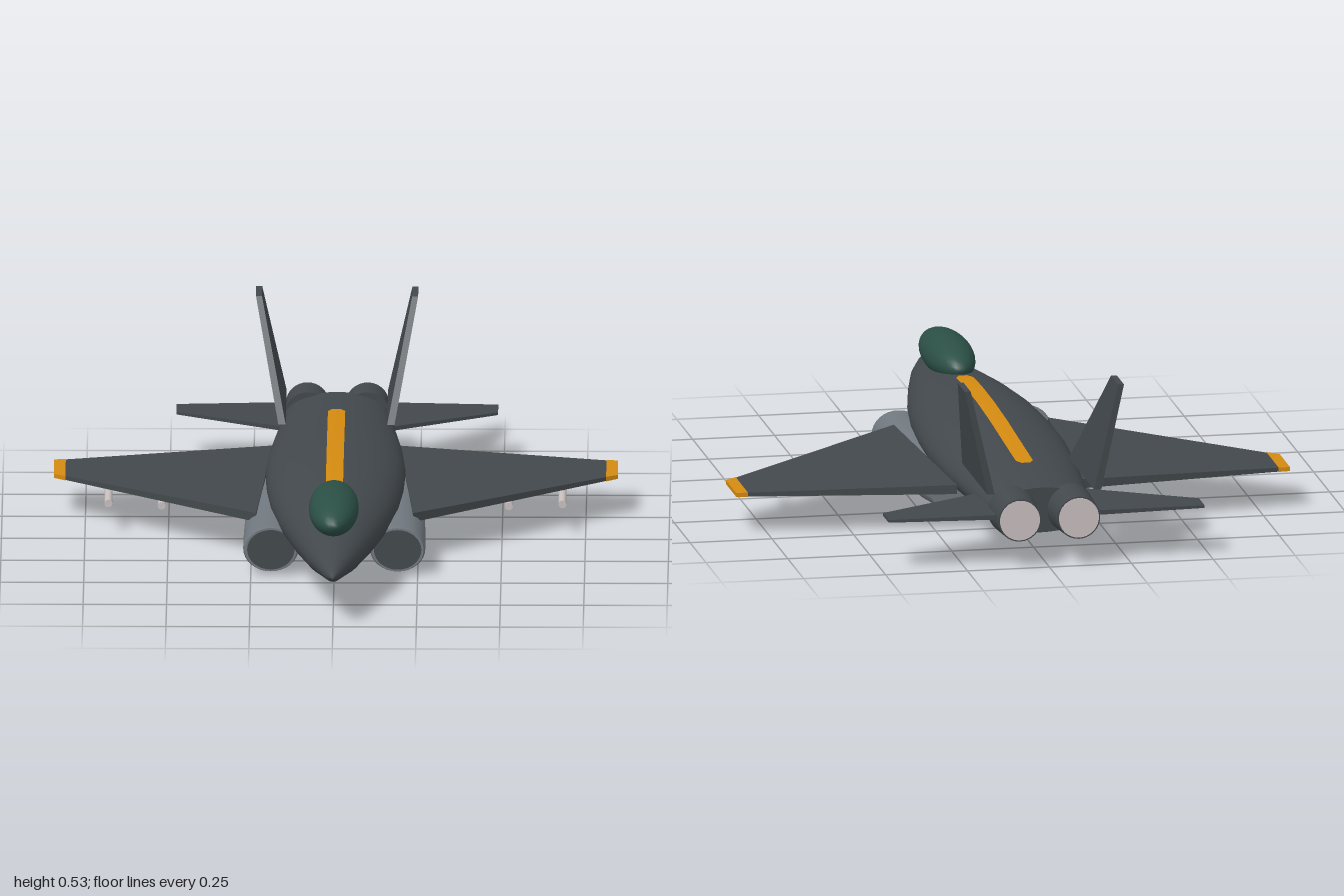
import * as THREE from 'three';
import { ConvexGeometry } from 'three/addons/geometries/ConvexGeometry.js';

const material = (name, color) => {
  const m = new THREE.MeshStandardMaterial({ color });
  m.name = name;
  return m;
};

// Smooth elliptical loft with flat caps; sections run front to back as [z, x, halfWidth, top, bottom]
function loft(sections, sides = 32) {
  const pos = [], idx = [];
  const ring = ([z, x, w, top, bottom]) => {
    const first = pos.length / 3;
    for (let j = 0; j < sides; j++) {
      const a = (j / sides) * Math.PI * 2;
      pos.push(x + w * Math.cos(a), (top + bottom) / 2 + ((top - bottom) / 2) * Math.sin(a), z);
    }
    return first;
  };
  const starts = sections.map(ring);
  for (let i = 0; i < starts.length - 1; i++) {
    for (let j = 0; j < sides; j++) {
      const k = (j + 1) % sides;
      const a = starts[i] + j, b = starts[i] + k, c = starts[i + 1] + j, d = starts[i + 1] + k;
      idx.push(a, c, b, b, c, d);
    }
  }
  [sections[0], sections[sections.length - 1]].forEach((s, end) => {
    const first = ring(s), centre = pos.length / 3;
    pos.push(s[1], (s[3] + s[4]) / 2, s[0]);
    for (let j = 0; j < sides; j++) {
      const p = first + j, q = first + ((j + 1) % sides);
      idx.push(...(end ? [centre, q, p] : [centre, p, q]));
    }
  });
  const g = new THREE.BufferGeometry();
  g.setAttribute('position', new THREE.Float32BufferAttribute(pos, 3));
  g.setIndex(idx);
  g.computeVertexNormals();
  return g;
}

// Flat panel from corners [x, y, z, thickness], thickened along one axis and mirrored by side
function panel(corners, side, axis) {
  const pts = [];
  for (const [x, y, z, t] of corners) {
    for (const h of [-t / 2, t / 2]) {
      const p = new THREE.Vector3(x * side, y, z);
      p[axis] += h;
      pts.push(p);
    }
  }
  return new ConvexGeometry(pts);
}

const BODY = [
  [1.0, 0, 0.003, 0.153, 0.147],
  [0.96, 0, 0.023, 0.172, 0.129],
  [0.78, 0, 0.079, 0.213, 0.096],
  [0.6, 0, 0.122, 0.236, 0.076],
  [0.4, 0, 0.163, 0.252, 0.063],
  [0.2, 0, 0.192, 0.26, 0.057],
  [0.0, 0, 0.206, 0.259, 0.055],
  [-0.2, 0, 0.21, 0.252, 0.057],
  [-0.4, 0, 0.2, 0.24, 0.063],
  [-0.6, 0, 0.182, 0.229, 0.069],
  [-0.88, 0, 0.155, 0.216, 0.078],
];

// Body section interpolated at a given z
function bodyAt(z) {
  const i = BODY.findIndex((s, n) => n > 0 && s[0] <= z);
  const a = BODY[i - 1], b = BODY[i], t = (a[0] - z) / (a[0] - b[0]);
  return a.map((v, n) => v + (b[n] - v) * t);
}

// Thin ribbon hugging the spine, with rounded ends
function spineRibbon(z0, z1, half, lift) {
  const pos = [], idx = [], rows = 40, cols = 4;
  for (let i = 0; i <= rows; i++) {
    const z = z0 + ((z1 - z0) * i) / rows;
    const [, , w, top, bottom] = bodyAt(z);
    const fromEnd = Math.min(z0 - z, z - z1);
    const width = half * Math.min(1, 0.5 + fromEnd / 0.04);
    for (let j = 0; j <= cols; j++) {
      const x = width * ((2 * j) / cols - 1);
      const y = (top + bottom) / 2 + ((top - bottom) / 2) * Math.sqrt(1 - (x / w) ** 2) + lift;
      pos.push(x, y, z);
      if (i < rows && j < cols) {
        const a = i * (cols + 1) + j, c = a + cols + 1;
        idx.push(a, a + 1, c, a + 1, c + 1, c);
      }
    }
  }
  const g = new THREE.BufferGeometry();
  g.setAttribute('position', new THREE.Float32BufferAttribute(pos, 3));
  g.setIndex(idx);
  g.computeVertexNormals();
  return g;
}

export function createModel() {
  const model = new THREE.Group();
  model.name = 'jetFighter';
  const dark = material('darkGrey', 0x42484c);
  const grey = material('midGrey', 0x70787f);
  const amber = material('amber', 0xd48a10);
  const glass = material('darkGreenGlass', 0x2b4f45);
  const pale = material('paleGrey', 0xcac0c0);
  amber.side = THREE.DoubleSide;

  const add = (name, geometry, mat, parent = model) => {
    const mesh = new THREE.Mesh(geometry, mat);
    mesh.name = name;
    parent.add(mesh);
    return mesh;
  };

  add('fuselage', loft(BODY, 40), dark);
  add('spineStripe', spineRibbon(0.36, -0.63, 0.026, 0.004), amber);

  // Canopy bubble
  const canopy = add('canopy', new THREE.SphereGeometry(1, 32, 20), glass);
  canopy.scale.set(0.075, 0.062, 0.226);
  canopy.position.set(0, 0.263, 0.614);

  for (const side of [1, -1]) {
    const half = new THREE.Group();
    half.name = side > 0 ? 'leftSide' : 'rightSide';
    model.add(half);

    // Wing and coloured tip
    add('wing', panel([
      [0.235, 0.132, 0.24, 0.028], [0.81, 0.122, -0.24, 0.012],
      [0.81, 0.122, -0.43, 0.012], [0.19, 0.132, -0.527, 0.028],
    ], side, 'y'), dark, half);
    add('wingTip', panel([
      [0.81, 0.122, -0.238, 0.014], [0.845, 0.122, -0.264, 0.012],
      [0.845, 0.122, -0.43, 0.012], [0.81, 0.122, -0.43, 0.014],
    ], side, 'y'), amber, half);

    // Horizontal tail
    add('tailplane', panel([
      [0.14, 0.153, -0.68, 0.014], [0.482, 0.153, -0.866, 0.008],
      [0.482, 0.153, -0.956, 0.008], [0.155, 0.153, -0.968, 0.014],
    ], side, 'y'), dark, half);

    // Canted vertical fin
    add('fin', panel([
      [0.163, 0.212, -0.522, 0.022], [0.163, 0.212, -0.92, 0.022],
      [0.234, 0.533, -0.92, 0.018], [0.234, 0.533, -0.808, 0.018],
    ], side, 'x'), dark, half);

    // Engine pod with dark intake face
    add('enginePod', loft([
      [0.412, 0.19 * side, 0.078, 0.146, 0.012],
      [0.395, 0.19 * side, 0.083, 0.15, 0.007],
      [0.2, 0.19 * side, 0.082, 0.15, 0.002],
      [0.0, 0.188 * side, 0.08, 0.147, 0.0],
      [-0.2, 0.182 * side, 0.075, 0.14, 0.013],
      [-0.39, 0.175 * side, 0.066, 0.13, 0.034],
    ]), grey, half);
    add('intakeFace', loft([
      [0.415, 0.19 * side, 0.071, 0.14, 0.018],
      [0.41, 0.19 * side, 0.071, 0.14, 0.018],
    ]), dark, half);

    // Exhaust nozzle and glowing-side disc
    add('nozzle', loft([
      [-0.86, 0.088 * side, 0.073, 0.22, 0.072],
      [-1.0, 0.09 * side, 0.065, 0.213, 0.083],
    ]), dark, half);
    add('exhaustDisc', loft([
      [-0.996, 0.09 * side, 0.061, 0.209, 0.087],
      [-1.002, 0.09 * side, 0.061, 0.209, 0.087],
    ]), pale, half);

    // Slim stores under the wing
    [0.36, 0.52, 0.68].forEach((x, i) => {
      const front = -0.01 - 0.025 * i;
      const store = add('missile', new THREE.CylinderGeometry(0.012, 0.012, 0.27, 12), pale, half);
      store.rotation.x = Math.PI / 2;
      store.position.set(x * side, 0.092, front - 0.135);
      const pylon = add('pylon', new THREE.BoxGeometry(0.008, 0.022, 0.08), dark, half);
      pylon.position.set(x * side, 0.109, front - 0.16);
    });
  }
  return model;
}
